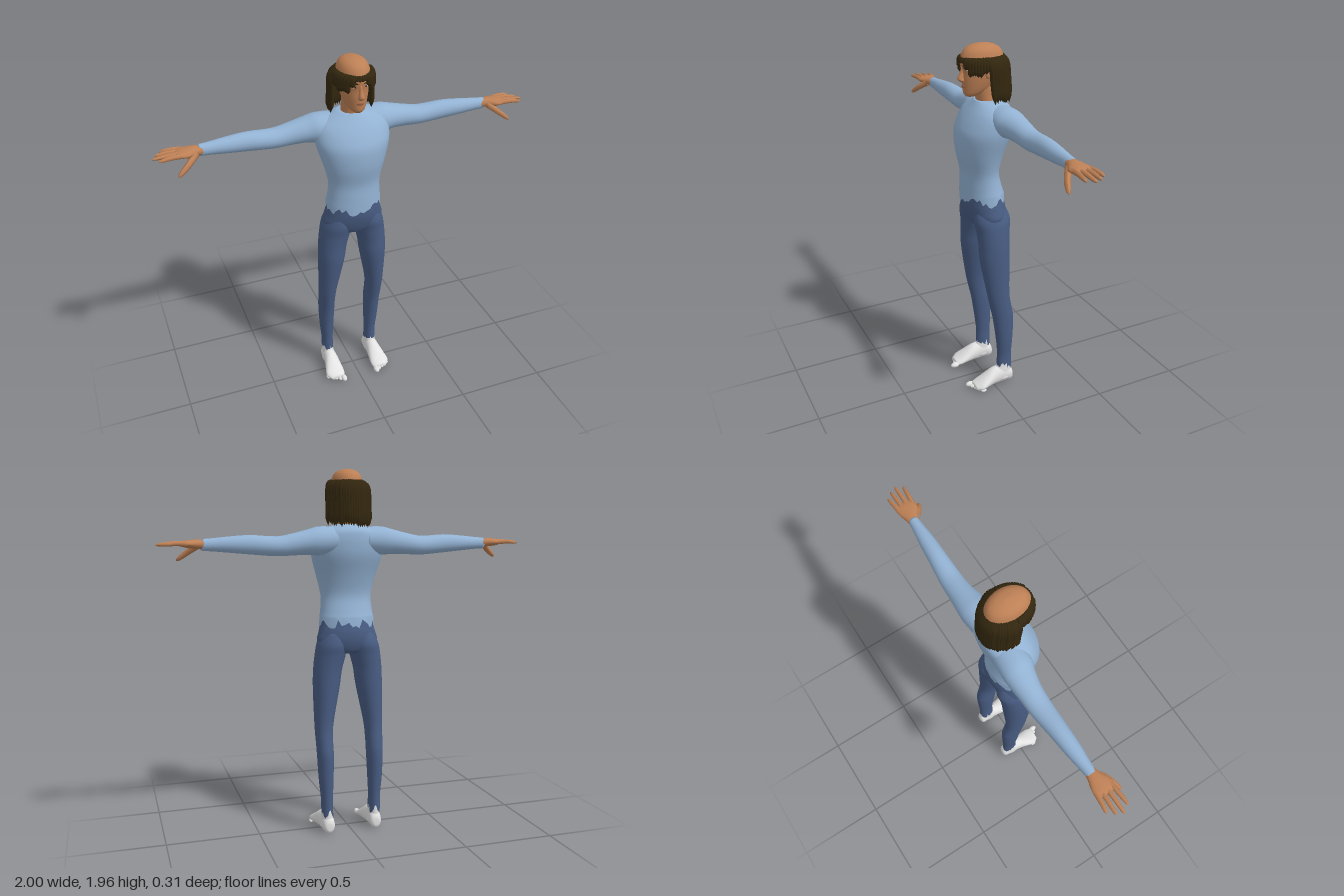
import * as THREE from 'three';

const mat = (name, color, side = THREE.FrontSide) => {
  const m = new THREE.MeshStandardMaterial({ color, side });
  m.name = name;
  return m;
};

// Repeatable 0..1 noise
const noise = (i) => { const s = Math.sin(i * 127.1 + 3.7) * 43758.5; return s - Math.floor(s); };

// How (u, t, v) of a loft map to x, y, z for each lofting direction
const AXES = {
  y: (u, t, v) => [u, t, v],
  x: (u, t, v) => [t, v, u],
  z: (u, t, v) => [v, u, t],
};

// Smooth body from a few cross-sections [t, centreU, radiusU, vMin, vMax];
// jag drops the vertices of the first ring unevenly for a ragged hem.
function loft(rings, { axis = 'y', seg = 28, sub = 4, jag = 0 } = {}) {
  const at = (i) => rings[Math.max(0, Math.min(rings.length - 1, i))];
  const rows = [];
  for (let i = 0; i < rings.length - 1; i++) {
    for (let k = 0; k < sub; k++) {
      const f = k / sub;
      rows.push(rings[i].map((b, c) => {
        const a = at(i - 1)[c], d = at(i + 1)[c], e = at(i + 2)[c];
        return b + 0.5 * f * (d - a + f * (2 * a - 5 * b + 4 * d - e + f * (3 * (b - d) + e - a)));
      }));
    }
  }
  rows.push(rings[rings.length - 1]);
  const pos = [], idx = [];
  rows.forEach(([t, cu, ru, v0, v1], i) => {
    for (let j = 0; j < seg; j++) {
      const a = (j / seg) * Math.PI * 2;
      const drop = i === 0 ? jag * noise(j + 1) : 0;
      pos.push(...AXES[axis](cu + Math.sin(a) * ru, t - drop, (v0 + v1) / 2 + Math.cos(a) * (v1 - v0) / 2));
    }
  });
  const last = rows.length - 1, centre = rows.length * seg;
  for (const r of [rows[0], rows[last]]) pos.push(...AXES[axis](r[1], r[0], (r[3] + r[4]) / 2));
  for (let j = 0; j < seg; j++) {
    const n = (j + 1) % seg;
    for (let i = 0; i < last; i++) {
      const a = i * seg + j, b = i * seg + n;
      idx.push(a, b, a + seg, b, b + seg, a + seg);
    }
    if (!jag) idx.push(centre, n, j);
    idx.push(centre + 1, last * seg + j, last * seg + n);
  }
  const g = new THREE.BufferGeometry();
  g.setAttribute('position', new THREE.Float32BufferAttribute(pos, 3));
  g.setIndex(idx);
  g.computeVertexNormals();
  return g;
}

// Tube along points whose radius follows taper(0..1)
function strand(points, radius, taper, seg = 12, sides = 7) {
  const curve = new THREE.CatmullRomCurve3(points.map((p) => new THREE.Vector3(...p)));
  const g = new THREE.TubeGeometry(curve, seg, radius, sides);
  const p = g.attributes.position, v = new THREE.Vector3();
  for (let i = 0; i <= seg; i++) {
    const c = curve.getPointAt(i / seg);
    for (let j = 0; j <= sides; j++) {
      const n = i * (sides + 1) + j;
      v.fromBufferAttribute(p, n).sub(c).multiplyScalar(taper(i / seg)).add(c);
      p.setXYZ(n, v.x, v.y, v.z);
    }
  }
  g.computeVertexNormals();
  return g;
}

const ball = (r, s, c) => new THREE.SphereGeometry(r, 16, 12).scale(...s).translate(...c);

// Copy reflected to the other side, faces kept outward
function mirrored(geo) {
  const g = geo.clone().scale(-1, 1, 1), ix = g.index;
  for (let i = 0; i < ix.count; i += 3) {
    const a = ix.getX(i);
    ix.setX(i, ix.getX(i + 2));
    ix.setX(i + 2, a);
  }
  g.computeVertexNormals();
  return g;
}

export function createModel() {
  const skin = mat('skin', 0xbd8055), shirt = mat('shirt blue', 0x93b2d3, THREE.DoubleSide);
  const denim = mat('trouser blue', 0x485c82, THREE.DoubleSide), hair = mat('dark brown hair', 0x33270f);
  const white = mat('sock white', 0xe2e2e2), lip = mat('lip brown', 0x965c42), dark = mat('pupil', 0x1c1510);
  const model = new THREE.Group();
  model.name = 'standingFigure';
  const add = (name, geo, m) => {
    const mesh = new THREE.Mesh(geo, m);
    mesh.name = name;
    model.add(mesh);
  };
  const pair = (name, geo, m) => {
    add('left' + name, geo, m);
    add('right' + name, mirrored(geo), m);
  };

  // Shirt body with ragged hem
  add('shirtBody', loft([
    [1.172, 0, 0.151, -0.104, 0.118], [1.22, 0, 0.143, -0.088, 0.117], [1.3, 0, 0.14, -0.072, 0.117],
    [1.4, 0, 0.163, -0.095, 0.138], [1.5, 0, 0.192, -0.13, 0.14], [1.56, 0, 0.198, -0.14, 0.118],
    [1.61, 0, 0.185, -0.14, 0.088], [1.645, 0, 0.14, -0.13, 0.062], [1.674, 0, 0.07, -0.09, 0.04],
  ], { seg: 48, jag: 0.05 }), shirt);

  // Sleeves
  pair('Sleeve', loft([
    [0.07, -0.05, 0.08, 1.52, 1.66], [0.17, -0.056, 0.084, 1.512, 1.662], [0.23, -0.064, 0.073, 1.516, 1.648],
    [0.31, -0.068, 0.061, 1.514, 1.628], [0.4, -0.067, 0.056, 1.511, 1.612], [0.53, -0.062, 0.047, 1.521, 1.619],
    [0.63, -0.058, 0.041, 1.53, 1.613], [0.72, -0.055, 0.031, 1.538, 1.604], [0.775, -0.053, 0.027, 1.541, 1.6],
  ], { axis: 'x' }), shirt);

  // Hands: palm, four fingers, thumb
  pair('Palm', loft([
    [0.74, -0.053, 0.024, 1.545, 1.596], [0.79, -0.05, 0.035, 1.55, 1.598], [0.83, -0.045, 0.051, 1.553, 1.596],
    [0.865, -0.046, 0.053, 1.56, 1.592], [0.885, -0.047, 0.044, 1.568, 1.585],
  ], { axis: 'x', seg: 20 }), skin);
  const fingerTaper = (t) => Math.sqrt(Math.max(0, 1 - t ** 8)) * (1 - 0.3 * t);
  [[-0.086, -0.099, 0.955], [-0.061, -0.066, 0.985], [-0.034, -0.032, 1.0], [-0.008, 0.004, 0.975]].forEach(([z0, z1, tip], i) => {
    pair('Finger' + (i + 1), strand([[0.85, 1.576, z0], [0.91, 1.578, (z0 + z1) / 2], [tip, 1.571, z1]], 0.0135, fingerTaper, 14, 8), skin);
  });
  pair('Thumb', strand([[0.79, 1.568, -0.025], [0.84, 1.532, 0.012], [0.895, 1.49, 0.037]], 0.018, fingerTaper, 14, 8), skin);

  // Trousers: hips and legs, ragged at the ankle
  add('hips', loft([
    [0.985, 0, 0.07, -0.06, 0.045], [1.0, 0, 0.125, -0.09, 0.075], [1.05, 0, 0.167, -0.108, 0.097],
    [1.1, 0, 0.157, -0.11, 0.11], [1.14, 0, 0.147, -0.1, 0.113], [1.19, 0, 0.139, -0.086, 0.112],
  ], { seg: 40 }), denim);
  pair('Leg', loft([
    [0.14, 0.136, 0.033, -0.114, -0.026], [0.2, 0.137, 0.033, -0.113, -0.028], [0.3, 0.14, 0.04, -0.117, -0.018],
    [0.43, 0.141, 0.045, -0.12, 0.001], [0.5, 0.142, 0.046, -0.108, 0.016], [0.6, 0.14, 0.051, -0.092, 0.037],
    [0.8, 0.122, 0.072, -0.096, 0.07], [0.9, 0.113, 0.078, -0.098, 0.074], [0.98, 0.098, 0.084, -0.105, 0.081],
    [1.04, 0.088, 0.081, -0.112, 0.092], [1.1, 0.08, 0.06, -0.09, 0.085],
  ], { jag: 0.055 }), denim);

  // Feet: ankle, sole and toes
  pair('Ankle', loft([
    [0.03, 0.136, 0.037, -0.122, 0.01], [0.08, 0.136, 0.033, -0.114, -0.005],
    [0.12, 0.135, 0.03, -0.111, -0.026], [0.18, 0.135, 0.027, -0.105, -0.038],
  ]), white);
  pair('Foot', loft([
    [-0.124, 0.04, 0.02, 0.12, 0.15], [-0.11, 0.045, 0.043, 0.103, 0.165], [-0.06, 0.058, 0.056, 0.1, 0.172],
    [0, 0.054, 0.052, 0.095, 0.178], [0.05, 0.039, 0.037, 0.09, 0.19], [0.09, 0.026, 0.024, 0.088, 0.196],
    [0.122, 0.018, 0.014, 0.096, 0.172],
  ], { axis: 'z' }), white);
  for (let i = 0; i < 5; i++) {
    const r = i ? 0.0125 - i * 0.0006 : 0.016;
    pair('Toe' + (i + 1), ball(r, [1, 0.95, 1.7], [0.104 + i * 0.021, r, 0.132 - i * 0.012]), white);
  }

  // Neck and head
  add('neck', loft([[1.62, 0, 0.065, -0.085, 0.03], [1.67, 0, 0.054, -0.072, 0.034], [1.76, 0, 0.052, -0.065, 0.05]]), skin);
  add('head', loft([
    [1.698, 0, 0.018, 0.045, 0.09], [1.712, 0, 0.038, 0.005, 0.105], [1.74, 0, 0.054, -0.05, 0.109],
    [1.78, 0, 0.066, -0.085, 0.112], [1.82, 0, 0.073, -0.1, 0.112], [1.86, 0, 0.079, -0.11, 0.119],
    [1.895, 0, 0.08, -0.11, 0.118], [1.93, 0, 0.068, -0.092, 0.1], [1.951, 0, 0.044, -0.056, 0.066], [1.96, 0, 0.01, -0.01, 0.02],
  ], { seg: 32 }), skin);
  add('nose', loft([
    [1.774, 0, 0.01, 0.1, 0.12], [1.783, 0, 0.017, 0.1, 0.134], [1.795, 0, 0.014, 0.1, 0.139],
    [1.82, 0, 0.009, 0.1, 0.126], [1.85, 0, 0.008, 0.1, 0.118],
  ], { seg: 14 }), skin);
  pair('Ear', ball(0.024, [0.4, 1.1, 0.7], [0.077, 1.82, 0.005]), skin);

  // Face details
  pair('Eye', ball(0.012, [1, 0.5, 0.4], [0.029, 1.841, 0.1045]), white);
  pair('Pupil', ball(0.005, [0.9, 1, 0.4], [0.028, 1.841, 0.1085]), dark);
  const leaf = (t) => Math.sin(Math.PI * t);
  pair('Eyebrow', strand([[0.012, 1.857, 0.118], [0.03, 1.862, 0.112], [0.05, 1.856, 0.096]], 0.005, leaf), hair);
  add('lips', strand([[-0.024, 1.75, 0.1], [0, 1.753, 0.11], [0.024, 1.75, 0.1]], 0.007, leaf), lip);

  // Long locks around the back and sides
  const lockTaper = (t) => Math.min(1, 0.6 + 3 * t, 6 * (1 - t));
  const LONG = 30;
  for (let i = 0; i < LONG; i++) {
    const a = THREE.MathUtils.degToRad(88 + (184 * i) / (LONG - 1));
    const s = Math.sin(a), c = Math.cos(a), out = 1 + 0.06 * noise(i);
    const end = 1.665 + 0.015 * c + 0.02 * noise(i + 50);
    add('longLock', strand([
      [s * 0.074, 1.896, c * 0.104], [s * 0.1 * out, 1.865, c * 0.12 - 0.003],
      [s * 0.104 * out, 1.77, c * 0.123 - 0.012], [s * 0.108 * out, end, c * 0.118 - 0.023],
    ], 0.0155, lockTaper, 14), hair);
  }

  // Short fringe, parted in the middle
  for (let i = 0; i < 13; i++) {
    const deg = 4 + i * 6.8, a = THREE.MathUtils.degToRad(deg);
    const s = Math.sin(a), c = Math.cos(a);
    const end = (deg < 22 ? 1.877 : deg < 36 ? 1.852 : deg < 66 ? 1.815 : 1.835) - 0.012 * noise(i + 9);
    const r = deg < 22 ? 0.008 : 0.0135;
    pair('FringeLock', strand([
      [s * 0.076, 1.897, c * 0.11], [s * 0.094, 1.886, c * 0.12],
      [s * 0.099, (1.886 + end) / 2, c * 0.122], [s * 0.095, end, c * 0.12],
    ], r, lockTaper, 10), hair);
  }
  return model;
}
